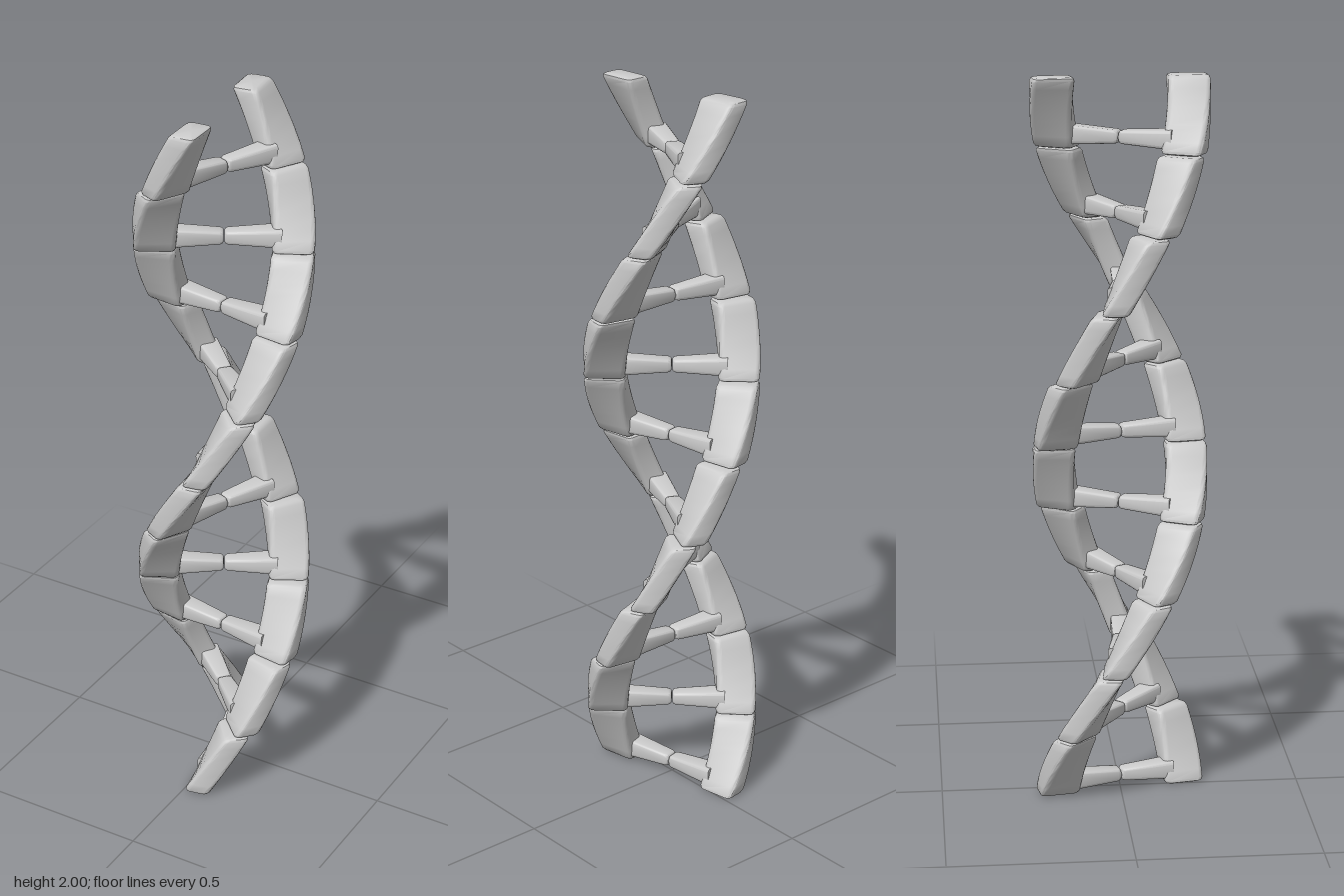
import * as THREE from 'three';
import { toCreasedNormals } from 'three/addons/utils/BufferGeometryUtils.js';

const LEVELS = 10, PITCH = 0.2, TURN = Math.PI / 5;
const rad = THREE.MathUtils.degToRad;
const material = new THREE.MeshStandardMaterial({ color: 0xcccccc });

// Counter-clockwise rounded rectangle, as [u, v] pairs
function roundedRect(halfU, halfV, r) {
  const points = [];
  for (let corner = 0; corner < 4; corner++) {
    const su = corner === 0 || corner === 3 ? 1 : -1;
    const sv = corner < 2 ? 1 : -1;
    for (let i = 0; i < 4; i++) {
      const a = (corner + i / 3) * Math.PI / 2;
      points.push([su * (halfU - r) + r * Math.cos(a), sv * (halfV - r) + r * Math.sin(a)]);
    }
  }
  return points;
}

// Closed skin over a list of equal-length rings
function loft(rings) {
  const n = rings[0].length, last = rings.length - 1;
  const points = rings.flat(), index = [];
  for (let i = 0; i < last; i++) {
    for (let j = 0; j < n; j++) {
      const k = (j + 1) % n;
      const a = i * n + j, b = i * n + k, c = b + n, d = a + n;
      index.push(a, b, c, a, c, d);
    }
  }
  const middle = ring => ring.reduce((s, p) => s.add(p), new THREE.Vector3()).divideScalar(n);
  const bottom = points.push(middle(rings[0])) - 1;
  const top = points.push(middle(rings[last])) - 1;
  for (let j = 0; j < n; j++) {
    const k = (j + 1) % n;
    index.push(bottom, k, j, top, last * n + j, last * n + k);
  }
  const geometry = new THREE.BufferGeometry().setFromPoints(points);
  geometry.setIndex(index);
  return toCreasedNormals(geometry, 0.62);
}

// Upright block that sweeps round the axis as it rises, with softened ends
function strandGeometry(start, sweep) {
  const height = PITCH - 0.002, mid = 0.18;
  const stations = [[0, 0.009], [0.003, 0.003], [0.01, 0]];
  for (let i = 1; i < 8; i++) stations.push([0.01 + (height - 0.02) * i / 8, 0]);
  stations.push([height - 0.01, 0], [height - 0.003, 0.003], [height, 0.009]);
  return loft(stations.map(([y, inset]) => {
    const a = start - sweep * y / height, c = Math.cos(a), s = Math.sin(a);
    return roundedRect(0.056 - inset, 0.036 - inset, 0.014).map(([u, v]) =>
      new THREE.Vector3((mid + u) * c + v * s, y, (mid + u) * s - v * c));
  }));
}

// Half rung, thicker towards the strand
function rungGeometry(angle) {
  const c = Math.cos(angle), s = Math.sin(angle);
  const stations = [[0.001, 0.017, 0.012], [0.004, 0.02, 0.016], [0.01, 0.022, 0.018], [0.15, 0.03, 0.026]];
  return loft(stations.map(([r, halfU, halfV]) =>
    roundedRect(halfU, halfV, 0.008).map(([u, v]) =>
      new THREE.Vector3(r * c + u * s, 0.037 + v, r * s - u * c))));
}

export function createModel() {
  const model = new THREE.Group();
  model.name = 'doubleHelix';

  // One step of the ladder: two strand blocks and two half rungs
  const parts = [
    ['frontStrandBlock', strandGeometry(rad(116.5), rad(30))],
    ['backStrandBlock', strandGeometry(rad(-63), rad(34))],
    ['frontHalfRung', rungGeometry(rad(114))],
    ['backHalfRung', rungGeometry(rad(-66))],
  ];

  // Steps stacked upwards, each turned by a tenth of a circle
  for (let k = 0; k < LEVELS; k++) {
    const step = new THREE.Group();
    step.name = `ladderStep${k + 1}`;
    for (const [name, geometry] of parts) {
      const mesh = new THREE.Mesh(geometry, material);
      mesh.name = name;
      step.add(mesh);
    }
    step.position.y = k * PITCH + 0.002;
    step.rotation.y = -(LEVELS - 1 - k) * TURN;
    model.add(step);
  }
  return model;
}
